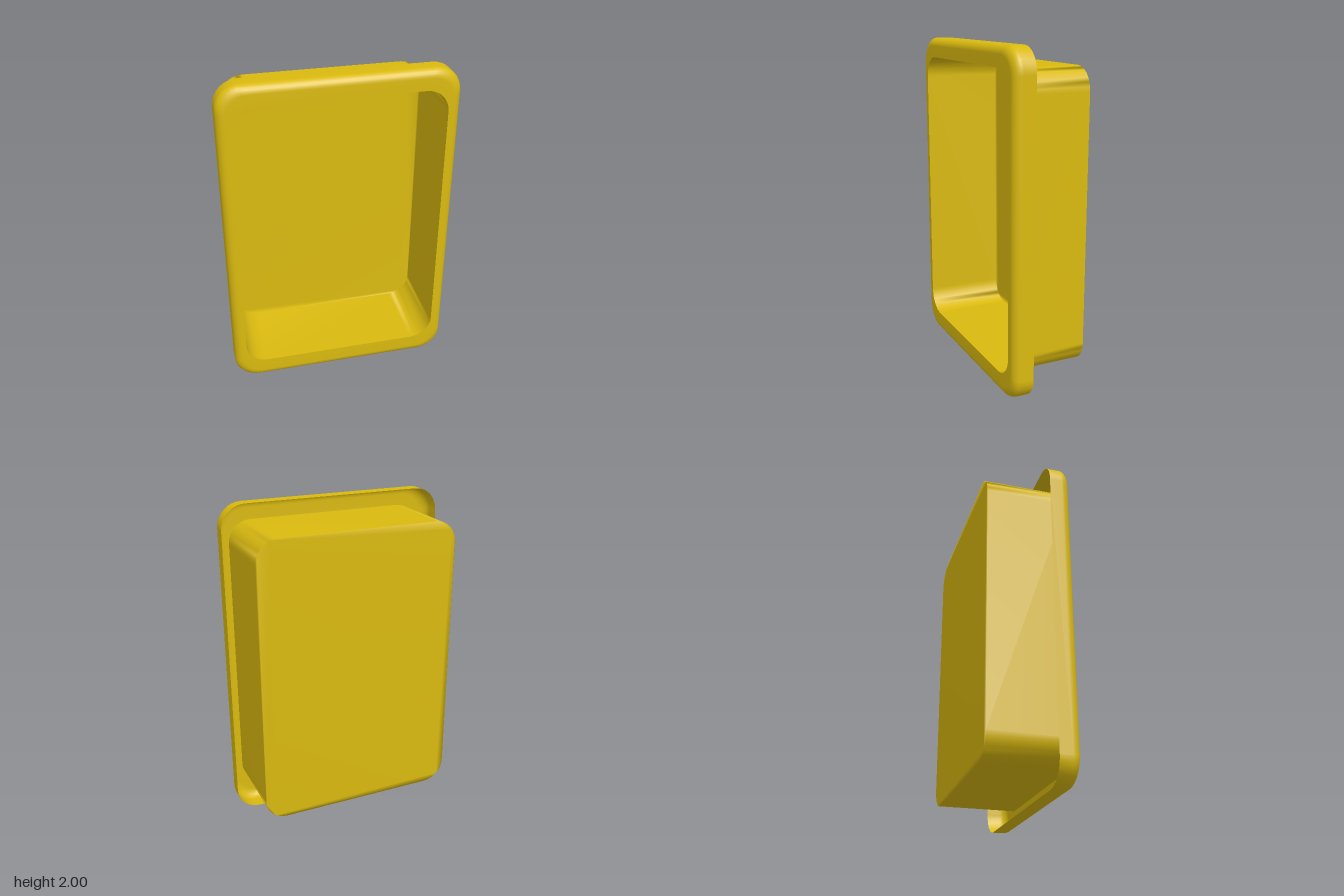
import * as THREE from 'three';

const CORNER_STEPS = 8;

// Rounded-rectangle ring of points, counter-clockwise seen from the front
function ring(halfW, bottom, top, radius, z) {
  const points = [];
  const centres = [
    [halfW - radius, top - radius], [radius - halfW, top - radius],
    [radius - halfW, bottom + radius], [halfW - radius, bottom + radius],
  ];
  centres.forEach(([cx, cy], corner) => {
    for (let i = 0; i <= CORNER_STEPS; i++) {
      const a = (corner + i / CORNER_STEPS) * Math.PI / 2;
      points.push(new THREE.Vector3(cx + radius * Math.cos(a), cy + radius * Math.sin(a), z));
    }
  });
  return points;
}

// Skin joining successive rings, optionally closing the last one with a flat panel
function loft(rings, capLast = false) {
  const n = rings[0].length;
  const index = [];
  for (let r = 0; r < rings.length - 1; r++) {
    for (let i = 0; i < n; i++) {
      const j = (i + 1) % n;
      const a = r * n + i, b = r * n + j, c = a + n, d = b + n;
      index.push(a, b, d, a, d, c);
    }
  }
  if (capLast) {
    const last = rings[rings.length - 1];
    const offset = (rings.length - 1) * n;
    const outline = last.map((p) => new THREE.Vector2(p.x, p.y));
    for (const f of THREE.ShapeUtils.triangulateShape(outline, [])) {
      index.push(...f.map((k) => k + offset));
    }
  }
  const geometry = new THREE.BufferGeometry().setFromPoints(rings.flat());
  geometry.setIndex(index);
  geometry.computeVertexNormals();
  return geometry;
}

export function createModel() {
  const group = new THREE.Group();
  group.name = 'recessedTray';
  const material = new THREE.MeshStandardMaterial({ color: 0xd9b90f, side: THREE.DoubleSide });

  const add = (name, geometry) => {
    const mesh = new THREE.Mesh(geometry, material);
    mesh.name = name;
    group.add(mesh);
  };

  const front = 0.245, back = -0.245, skirtBack = 0.12, bevel = 0.05;
  const opening = (z) => ring(0.615, 0.13, 1.88, 0.135, z);

  // Rim: skirt open at the back, rounded front edge, flat face in to the opening
  const rimRings = [ring(0.69, 0, 2, 0.145, skirtBack)];
  for (let i = 0; i <= 6; i++) {
    const a = (i / 6) * Math.PI / 2;
    const inset = bevel * (1 - Math.cos(a));
    rimRings.push(ring(0.69 - inset, inset, 2 - inset, 0.145 - inset * 0.3,
      front - bevel + bevel * Math.sin(a)));
  }
  rimRings.push(opening(front));
  add('rim', loft(rimRings));

  // Basin: straight walls running back to a closed panel
  add('basin', loft([opening(front), opening(back)], true));

  return group;
}
